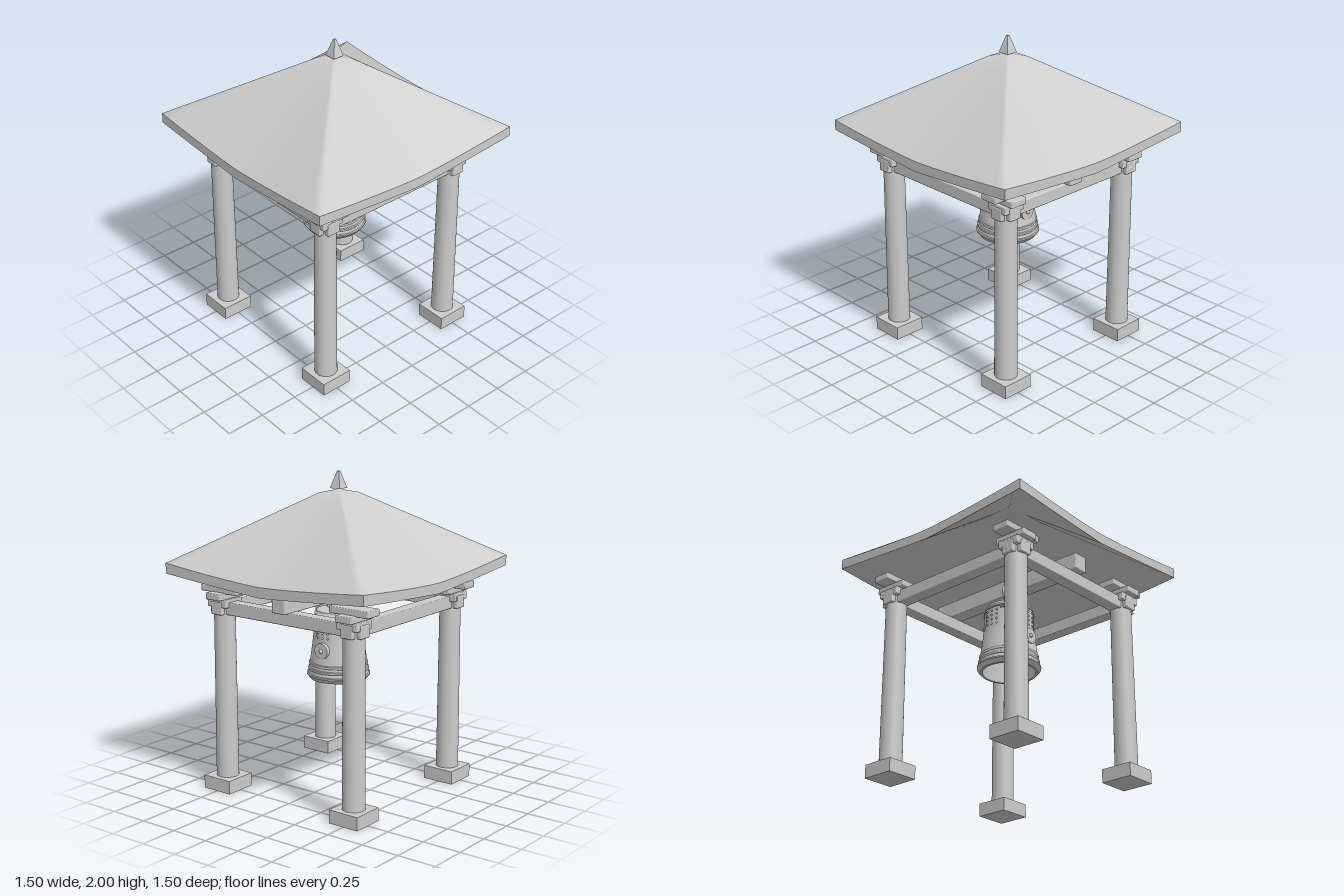
import * as THREE from 'three';
import { RoundedBoxGeometry } from 'three/addons/geometries/RoundedBoxGeometry.js';
import { ParametricGeometry } from 'three/addons/geometries/ParametricGeometry.js';
import { toCreasedNormals, mergeGeometries, mergeVertices } from 'three/addons/utils/BufferGeometryUtils.js';

const material = new THREE.MeshStandardMaterial({ color: 0xcccccc });
const twoSided = new THREE.MeshStandardMaterial({ color: 0xcccccc, side: THREE.DoubleSide });

function add(parent, name, geometry, x = 0, y = 0, z = 0, mat = material) {
  const mesh = new THREE.Mesh(geometry, mat);
  mesh.name = name;
  mesh.position.set(x, y, z);
  parent.add(mesh);
  return mesh;
}

const beam = (w, h, d) => new RoundedBoxGeometry(w, h, d, 2, 0.006);

// Roof: straight slopes from a sagging eave up to a small, flatter cap.
// s is the distance from the centre, t runs -1..1 between the ridges.
const HALF = 0.75, CAP = 0.085, THICK = 0.065;
function roofHeight(s, t, power) {
  if (s <= CAP) return 1.89 - 0.02 * s / CAP;
  const sag = 0.055 * (1 - Math.pow(Math.abs(t), power));
  return 1.87 - (0.415 + sag) * (s - CAP) / (HALF - CAP);
}

// Four copies of one side, welded so the ridges shade softly
function fourSides(side) {
  const sides = [0, 1, 2, 3].map((i) => side.clone().rotateY(i * Math.PI / 2));
  const all = mergeGeometries(sides);
  all.deleteAttribute('normal');
  all.deleteAttribute('uv');
  const welded = mergeVertices(all, 1e-4);
  welded.computeVertexNormals();
  return welded;
}

function makeRoof() {
  const roof = new THREE.Group();
  roof.name = 'roof';
  const TOP = 1.4, UNDER = 1.1;
  const slope = (drop, dir, power) => (u, v, p) => {
    const t = dir * (2 * u - 1);
    const s = v < 0.9
      ? THREE.MathUtils.lerp(HALF, CAP, v / 0.9)
      : THREE.MathUtils.lerp(CAP, 0.001, (v - 0.9) / 0.1);
    p.set(t * s, roofHeight(s, t, power) - drop, s);
  };
  const eave = (u, v, p) => {
    const t = 2 * u - 1;
    const low = roofHeight(HALF, t, UNDER) - THICK;
    p.set(t * HALF, THREE.MathUtils.lerp(low, roofHeight(HALF, t, TOP), v), HALF);
  };
  add(roof, 'roofSlopes', fourSides(new ParametricGeometry(slope(0, 1, TOP), 24, 10)));
  add(roof, 'roofUnderside', fourSides(new ParametricGeometry(slope(THICK, -1, UNDER), 24, 10)));
  const edge = new ParametricGeometry(eave, 24, 1);
  for (let i = 0; i < 4; i++) add(roof, 'eaveEdge', edge).rotation.y = i * Math.PI / 2;

  // Square pointed finial
  const finial = new THREE.CylinderGeometry(0.01, 0.054, 0.105, 4).toNonIndexed();
  finial.rotateY(Math.PI / 4);
  finial.computeVertexNormals();
  add(roof, 'finial', finial, 0, 1.9475, 0);
  return roof;
}

// Pillar with footing, capital and crossed bracket arms
function makePillar(x, z) {
  const pillar = new THREE.Group();
  pillar.name = 'pillar';
  pillar.position.set(x, 0, z);
  add(pillar, 'footing', new THREE.BoxGeometry(0.21, 0.085, 0.21), 0, 0.0425, 0);
  add(pillar, 'shaft', new THREE.CylinderGeometry(0.066, 0.071, 1.11, 32), 0, 0.635, 0);
  add(pillar, 'capital', beam(0.15, 0.05, 0.15), 0, 1.207, 0);
  add(pillar, 'lowerArm', beam(0.115, 0.042, 0.22), 0, 1.252, 0);
  add(pillar, 'upperArm', beam(0.28, 0.042, 0.115), 0, 1.288, 0);
  return pillar;
}

function makeBell() {
  const bell = new THREE.Group();
  bell.name = 'bell';
  // Outer wall from the crown down to the lip, then up the hollow inside
  const profile = [
    [0.001, 1.145], [0.1, 1.143], [0.138, 1.137], [0.142, 1.125], [0.15, 1.118],
    [0.15, 1.106], [0.144, 1.1], [0.157, 1.093], [0.159, 1.083], [0.155, 1.079],
    [0.156, 1.03], [0.158, 0.98], [0.164, 0.92], [0.171, 0.87], [0.179, 0.81],
    [0.185, 0.806], [0.185, 0.796], [0.182, 0.791], [0.184, 0.775], [0.191, 0.771],
    [0.191, 0.763], [0.188, 0.758], [0.191, 0.738], [0.199, 0.735], [0.199, 0.726],
    [0.178, 0.7], [0.163, 0.7], [0.16, 0.74], [0.153, 0.85], [0.138, 1.04],
    [0.1, 1.1], [0.001, 1.115]
  ].map(([r, y]) => new THREE.Vector2(r, y)).reverse();
  const wall = toCreasedNormals(new THREE.LatheGeometry(profile, 64), 0.5);
  add(bell, 'bellWall', wall, 0, 0, 0, twoSided);

  // Four studded panels around the shoulder
  const plate = new THREE.CylinderGeometry(0.159, 0.163, 0.13, 12, 1, true, -0.375, 0.75);
  const stud = new THREE.SphereGeometry(0.007, 12, 8);
  for (let i = 0; i < 4; i++) {
    const panel = new THREE.Group();
    panel.name = 'studPanel';
    panel.rotation.y = i * Math.PI / 2;
    add(panel, 'panelPlate', plate, 0, 1.02, 0, twoSided);
    for (let row = 0; row < 4; row++) {
      for (let col = -1; col <= 1; col++) {
        const a = col * 0.235;
        add(panel, 'stud', stud, 0.162 * Math.sin(a), 1.07 - row * 0.03, 0.162 * Math.cos(a));
      }
    }
    bell.add(panel);
  }

  // Round striking medallions, front and back
  const disc = new THREE.CylinderGeometry(0.05, 0.053, 0.035, 32).rotateX(Math.PI / 2);
  for (const turn of [0, Math.PI]) {
    const medallion = new THREE.Group();
    medallion.name = 'medallion';
    medallion.rotation.y = turn;
    add(medallion, 'medallionDisc', disc, 0, 0.9, 0.162);
    add(medallion, 'medallionBoss', new THREE.SphereGeometry(0.014, 16, 10), 0, 0.9, 0.178);
    bell.add(medallion);
  }

  // Hanging loop and strap over the beam
  add(bell, 'hangingLoop', new THREE.TorusGeometry(0.05, 0.013, 10, 32), 0, 1.25, 0);
  add(bell, 'hangingStem', new THREE.CylinderGeometry(0.025, 0.03, 0.08, 16), 0, 1.175, 0);
  add(bell, 'hangingStrap', beam(0.02, 0.16, 0.03), 0.075, 1.217, 0);
  return bell;
}

export function createModel() {
  const model = new THREE.Group();
  model.name = 'bellPavilion';
  for (const x of [-0.5, 0.5]) {
    for (const z of [-0.5, 0.5]) model.add(makePillar(x, z));
  }
  // Tie beams with ends projecting past the pillars
  for (const s of [-0.5, 0.5]) {
    add(model, 'crossTieBeam', beam(1.16, 0.08, 0.085), 0, 1.175, s);
    add(model, 'sideTieBeam', beam(0.085, 0.08, 1.16), s, 1.175, 0);
  }
  add(model, 'bellBeam', beam(0.1, 0.105, 1.17), 0, 1.264, 0);
  model.add(makeBell(), makeRoof());
  return model;
}
